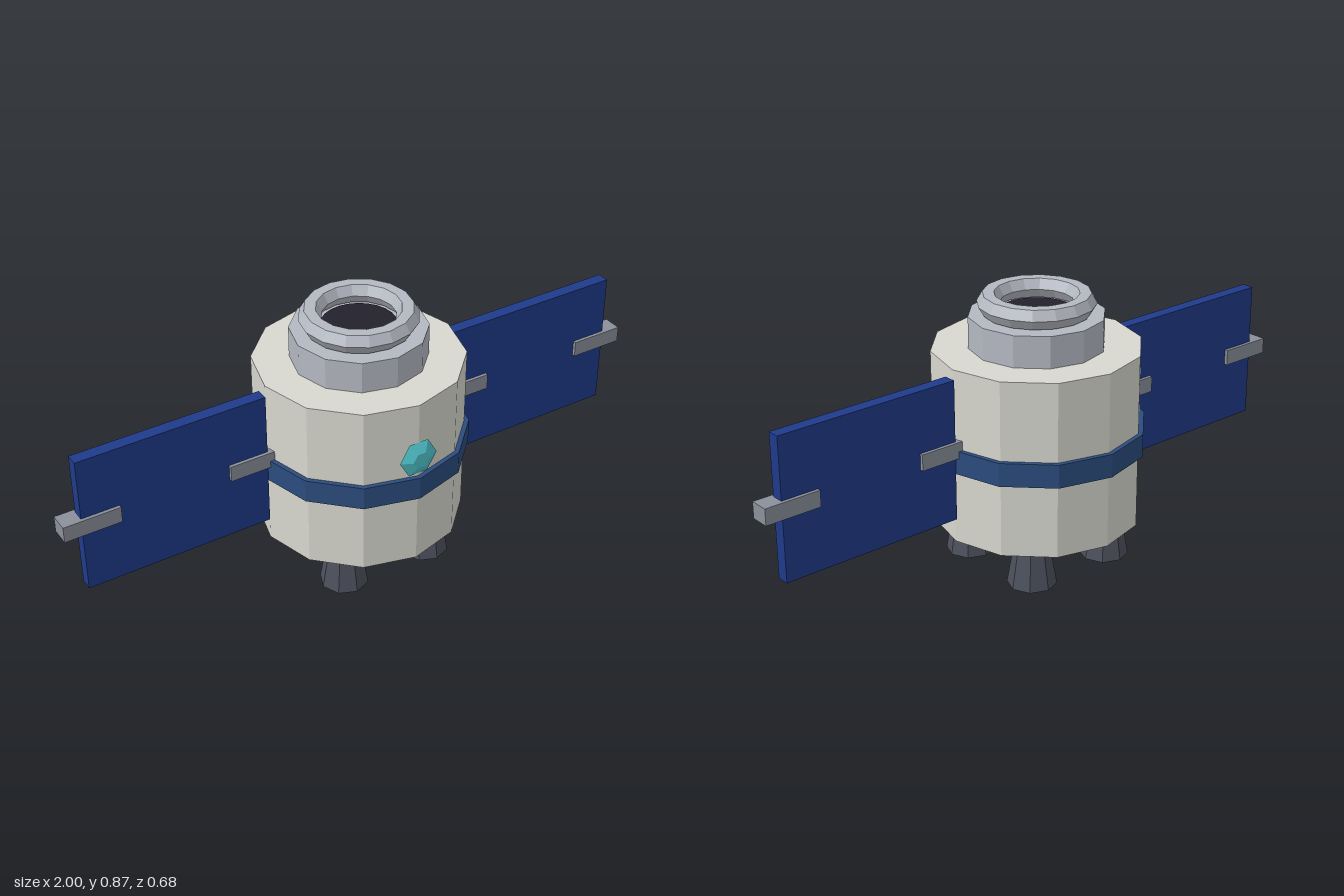
import * as THREE from 'three';

export function createModel() {
  const model = new THREE.Group();
  model.name = 'satellite';

  const mat = (name, color) => {
    const m = new THREE.MeshStandardMaterial({ color });
    m.name = name;
    m.flatShading = true;
    return m;
  };
  const hull = mat('hull white', 0xd8d8d0);
  const metal = mat('light metal', 0xb4b8c1);
  const strutGrey = mat('strut grey', 0x8a909b);
  const nozzleGrey = mat('nozzle grey', 0x4c505c);
  const navy = mat('band blue', 0x2b4c7e);
  const solarBlue = mat('panel blue', 0x1f3a8a);
  const teal = mat('window teal', 0x4fc4cc);
  const dark = mat('hatch dark', 0x23222c);

  const add = (name, geometry, material, x = 0, y = 0, z = 0) => {
    const mesh = new THREE.Mesh(geometry, material);
    mesh.name = name;
    mesh.position.set(x, y, z);
    model.add(mesh);
    return mesh;
  };
  // Upright cylinder given by its bottom and top heights
  const drum = (name, rTop, rBottom, y0, y1, sides, material, x = 0, z = 0) =>
    add(name, new THREE.CylinderGeometry(rTop, rBottom, y1 - y0, sides), material, x, (y0 + y1) / 2, z);

  // Hull, belt and docking collar
  drum('body', 0.325, 0.325, 0.14, 0.7, 12, hull);
  drum('belt', 0.34, 0.34, 0.375, 0.45, 12, navy);
  drum('collar', 0.21, 0.21, 0.7, 0.8, 12, metal);
  drum('hatch', 0.116, 0.116, 0.8, 0.808, 24, dark);
  const ring = add('dockingRing', new THREE.TorusGeometry(0.147, 0.035, 6, 16), metal, 0, 0.835, 0);
  ring.rotation.x = Math.PI / 2;

  // Faceted porthole, a six-sided gem facing forward
  const gem = [[0, -0.017], [0.028, -0.017], [0.064, 0], [0.028, 0.017], [0, 0.017]]
    .map(([r, h]) => new THREE.Vector2(r, h));
  const gemGeometry = new THREE.LatheGeometry(gem, 6, Math.PI / 2);
  gemGeometry.rotateX(Math.PI / 2);
  add('window', gemGeometry, teal, 0, 0.515, 0.325);

  // Solar wings with inner and outer struts
  for (const [side, s] of [['left', 1], ['right', -1]]) {
    add(side + 'SolarPanel', new THREE.BoxGeometry(0.605, 0.45, 0.04), solarBlue, s * 0.6375, 0.45, 0);
    add(side + 'InnerStrut', new THREE.BoxGeometry(0.155, 0.052, 0.062), strutGrey, s * 0.3875, 0.454, 0);
    add(side + 'OuterStrut', new THREE.BoxGeometry(0.18, 0.052, 0.062), strutGrey, s * 0.91, 0.454, 0);
  }

  // Four thruster nozzles
  for (const x of [-0.15, 0.15])
    for (const z of [-0.15, 0.15])
      drum('nozzle', 0.053, 0.077, 0, 0.14, 8, nozzleGrey, x, z);

  return model;
}
